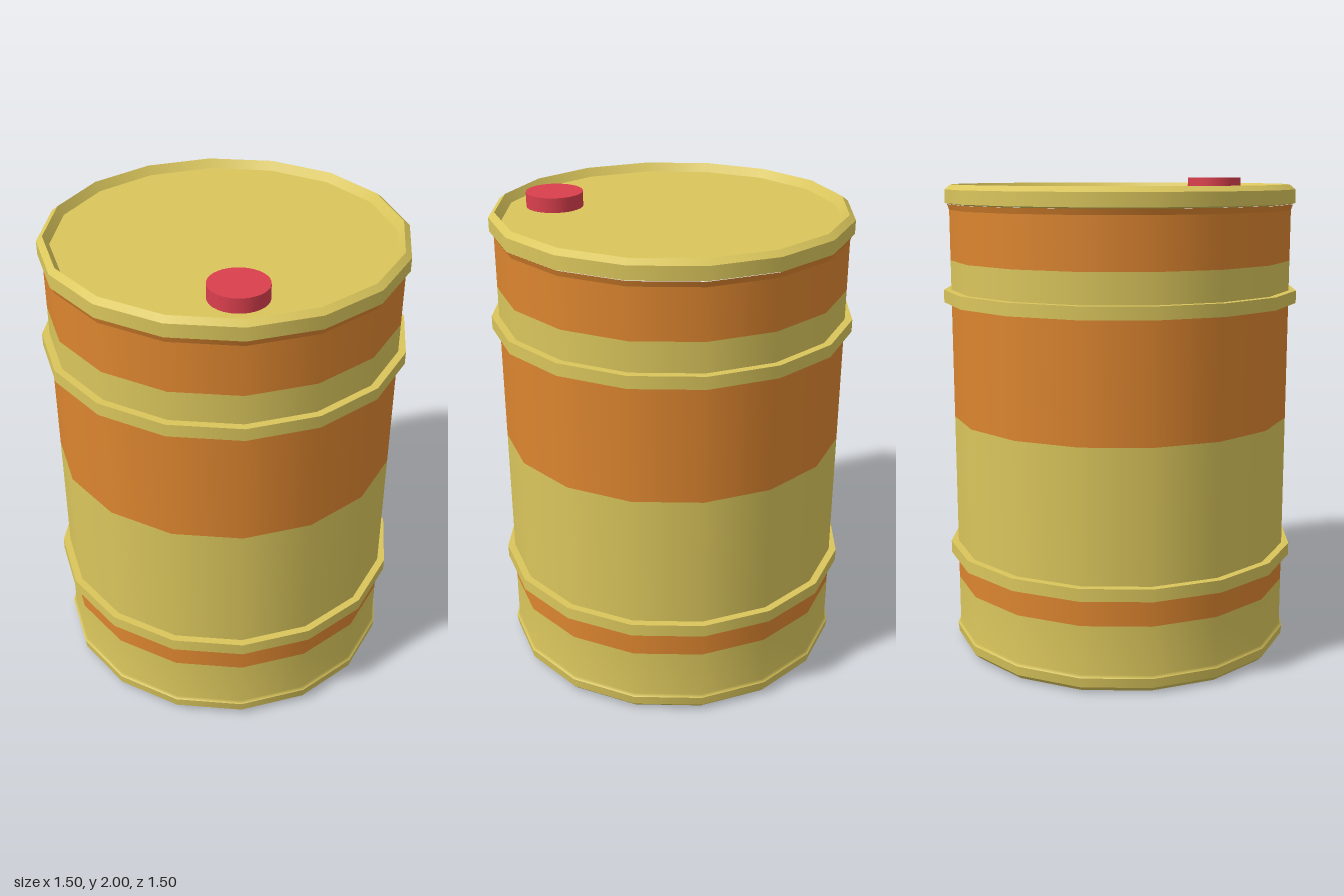
import * as THREE from 'three';
import { mergeGeometries } from 'three/addons/utils/BufferGeometryUtils.js';

const SIDES = 16;

// Ring surface with normals smoothed along the profile; points are [radius, height], bottom up
function smoothRing(points) {
  return new THREE.LatheGeometry(points.map(([r, y]) => new THREE.Vector2(r, y)), SIDES);
}

// Ring surface with a sharp edge at every profile point
function sharpRing(points) {
  const strips = [];
  for (let i = 0; i < points.length - 1; i++) strips.push(smoothRing([points[i], points[i + 1]]));
  return mergeGeometries(strips);
}

export function createModel() {
  const model = new THREE.Group();
  model.name = 'barrel';

  const material = (name, color) => {
    const m = new THREE.MeshStandardMaterial({ color });
    m.name = name;
    return m;
  };
  const yellow = material('yellow paint', 0xdac65c);
  const orange = material('orange paint', 0xdc852f);
  const red = material('red cap', 0xda3f4d);

  const add = (name, geometry, mat) => {
    const mesh = new THREE.Mesh(geometry, mat);
    mesh.name = name;
    model.add(mesh);
    return mesh;
  };

  const R = 0.718;

  // Bottom rim with a shallow recessed base
  add('bottomRim', sharpRing([
    [0, 0.025], [0.65, 0.025], [0.68, 0], [0.705, 0.005], [0.725, 0.025], [0.73, 0.065],
  ]), yellow);

  // Painted wall, from the flared foot up to the flare under the top rim
  add('wallFoot', smoothRing([[R, 0.28], [R, 0.075], [0.73, 0.065]].reverse()), yellow);
  add('lowerStripe', smoothRing([[R, 0.28], [R, 0.42]]), orange);
  add('middleWall', smoothRing([[R, 0.42], [R, 1]]), yellow);
  add('middleStripe', smoothRing([[R, 1], [R, 1.515]]), orange);
  add('upperWall', smoothRing([[R, 1.515], [R, 1.665]]), yellow);
  add('upperStripe', smoothRing([[R, 1.665], [R, 1.872]]), orange);
  add('upperFlare', smoothRing([[R, 1.872], [0.726, 1.895]]), orange);

  // Top rim, stepping down inside to the lid
  add('topRim', sharpRing([
    [0.715, 1.895], [0.735, 1.9], [0.735, 1.955], [0.71, 1.975], [0.685, 1.94],
  ]), yellow);
  add('lid', sharpRing([[0.685, 1.94], [0, 1.94]]), yellow);

  // Raised hoops
  for (const [name, bottom] of [['lowerHoop', 0.393], ['upperHoop', 1.49]]) {
    const top = bottom + 0.052;
    add(name, sharpRing([[R - 0.01, bottom], [0.749, bottom], [0.749, top], [R - 0.01, top]]), yellow);
  }

  // Filler cap
  const cap = add('fillerCap', new THREE.CylinderGeometry(0.117, 0.117, 0.065, 32), red);
  cap.position.set(0, 1.9675, 0.495);

  return model;
}
